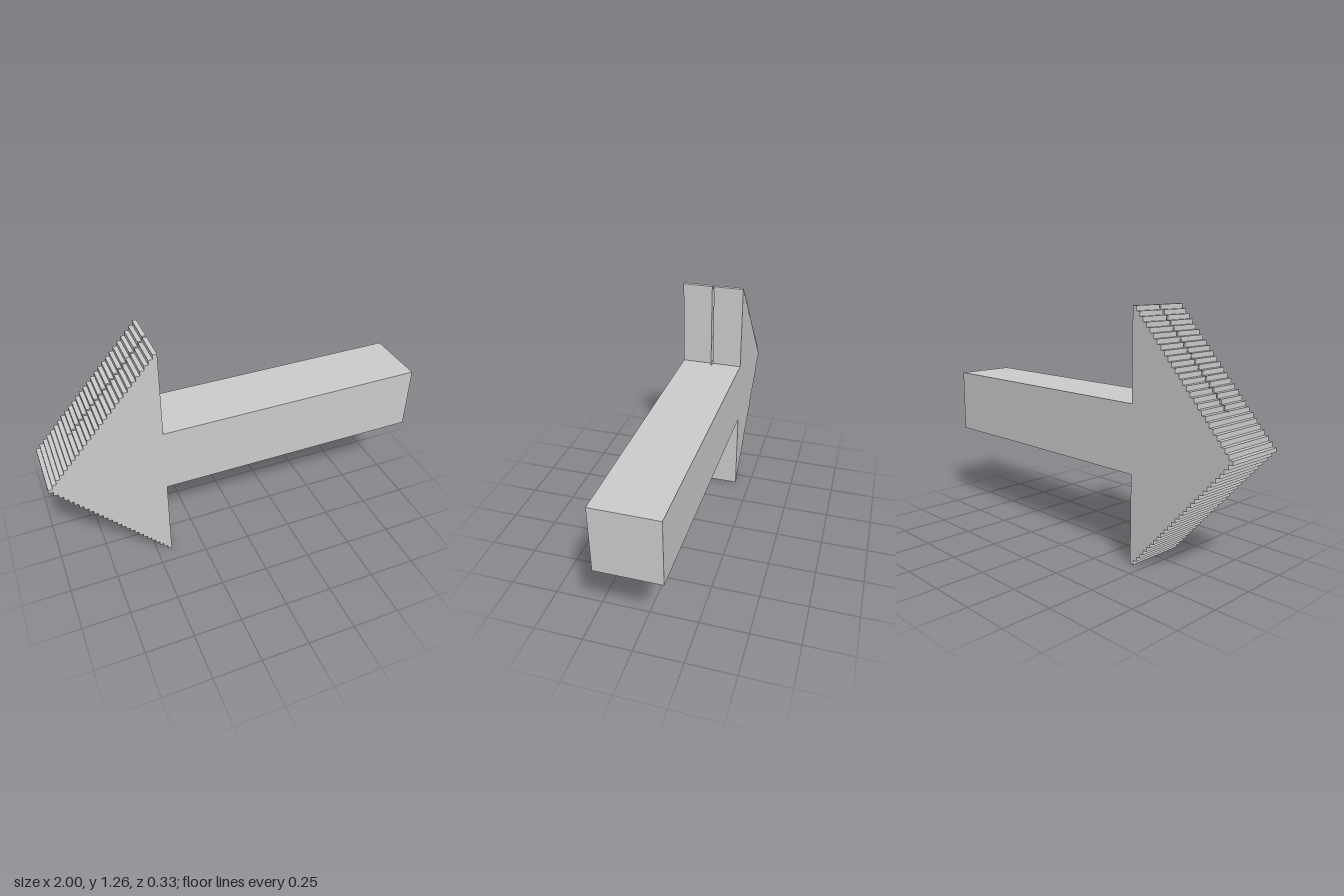
import * as THREE from 'three';

const STEPS = 27, MID = 0.63, TIP = -1, NECK = -0.42, HALF_Z = 0.165, SLOT = 0.005;
const SHAFT_LOW = 0.458, SHAFT_HIGH = 0.804, HOLE_END = -0.4;
const stepX = (i) => TIP + (NECK - TIP) * i / STEPS;
const stepHalf = (i) => 0.01 + (MID - 0.01) * i / (STEPS - 1);

// Stepped triangular head, optionally cut off level at the given height
function headPoints(cut = Infinity) {
  const top = [], bottom = [];
  for (let i = 0; i < STEPS; i++) {
    const h = stepHalf(i);
    for (const x of [stepX(i), stepX(i + 1)]) {
      top.push(new THREE.Vector2(x, Math.min(MID + h, cut)));
      bottom.push(new THREE.Vector2(x, MID - h));
    }
  }
  return { top, bottom };
}

export function createModel() {
  const group = new THREE.Group();
  const material = new THREE.MeshStandardMaterial({ color: 0xcccccc, flatShading: true });

  const add = (name, geometry) => {
    const mesh = new THREE.Mesh(geometry, material);
    mesh.name = name;
    group.add(mesh);
    return mesh;
  };
  const slab = (name, points, z0, z1) => {
    const geometry = new THREE.ExtrudeGeometry(new THREE.Shape(points), { depth: z1 - z0, bevelEnabled: false });
    add(name, geometry.translate(0, 0, z0));
  };

  // Two outer layers: the whole arrow outline, front and back
  const full = headPoints();
  const shaft = [[NECK, SHAFT_LOW], [1, SHAFT_LOW], [1, SHAFT_HIGH], [NECK, SHAFT_HIGH]]
    .map(([x, y]) => new THREE.Vector2(x, y));
  const outline = [...full.bottom, ...shaft, ...full.top.reverse()];
  slab('frontArrowHalf', outline, SLOT, HALF_Z);
  slab('backArrowHalf', outline, -HALF_Z, -SLOT);

  // Thin core that leaves the slot open above the shaft and a small hole at the neck
  const low = headPoints(SHAFT_HIGH);
  slab('headCore', [...low.bottom, ...low.top.reverse()], -SLOT, SLOT);
  const core = new THREE.BoxGeometry(1 - HOLE_END, SHAFT_HIGH - SHAFT_LOW, SLOT * 2);
  add('shaftCore', core).position.set((1 + HOLE_END) / 2, (SHAFT_HIGH + SHAFT_LOW) / 2, 0);

  // Small bridges across the slot along the upper steps
  const bridge = new THREE.BoxGeometry((NECK - TIP) / STEPS, 0.006, SLOT * 2);
  for (const y of [0.83, 0.855, 0.88, 0.91, 0.935, 0.96, 0.985, 1.01, 1.035, 1.06, 1.11, 1.16, 1.24]) {
    const i = Math.ceil((y + 0.003 - MID - 0.01) / (MID - 0.01) * (STEPS - 1));
    add('slotBridge', bridge).position.set((stepX(i) + stepX(i + 1)) / 2, y, 0);
  }
  return group;
}
